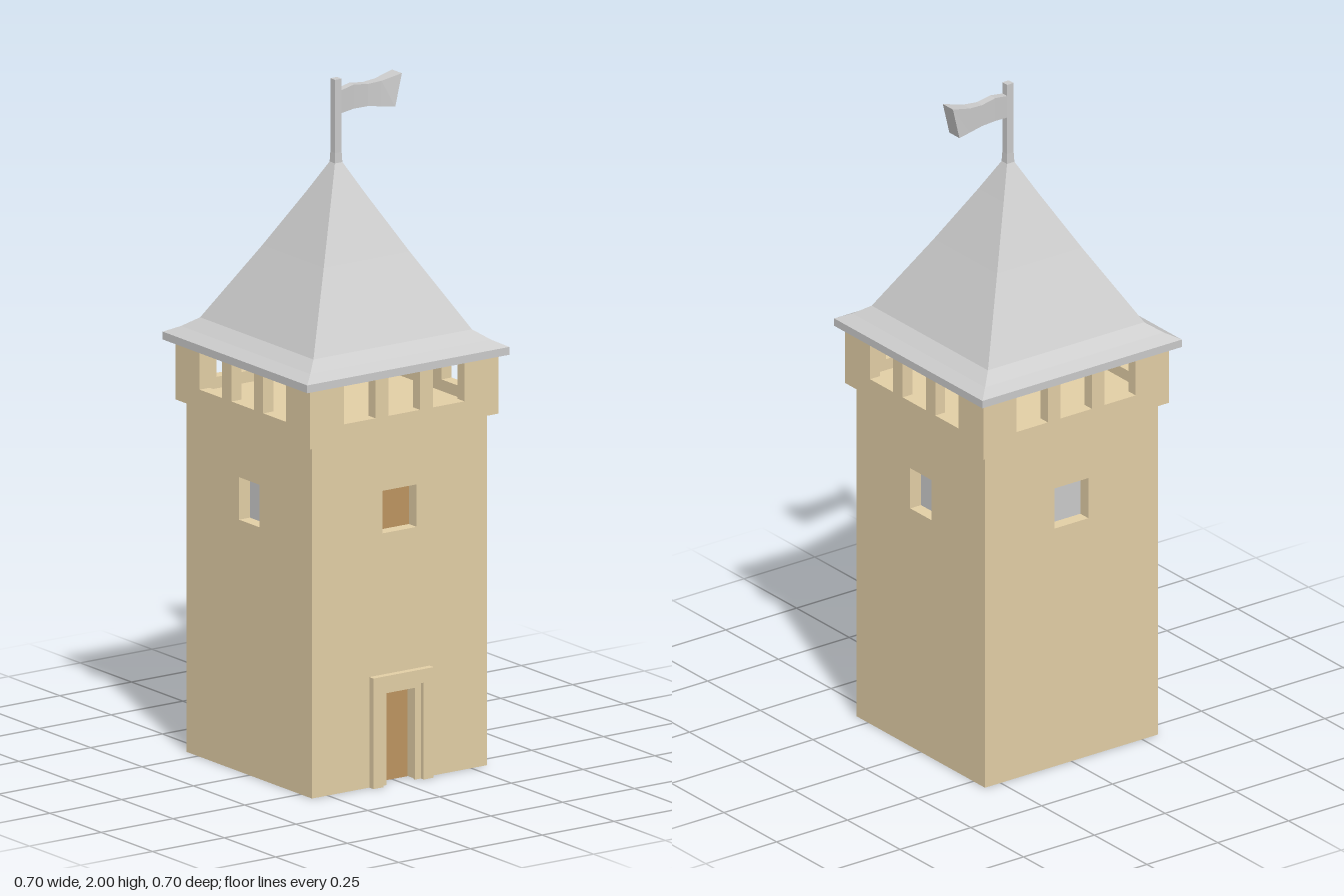
import * as THREE from 'three';

const stone = new THREE.MeshStandardMaterial({ color: 0xe3cfa6, flatShading: true });
const wood = new THREE.MeshStandardMaterial({ color: 0xbd9561, flatShading: true });
const grey = new THREE.MeshStandardMaterial({ color: 0xcccccc, flatShading: true });

function add(parent, name, geometry, material, x = 0, y = 0, z = 0) {
  const mesh = new THREE.Mesh(geometry, material);
  mesh.name = name;
  mesh.position.set(x, y, z);
  parent.add(mesh);
  return mesh;
}

// Upright slab from y0 to y1 with rectangular holes [x0, x1, y0, y1]
function slab(halfWidth, y0, y1, depth, holes, notch) {
  const s = new THREE.Shape();
  s.moveTo(-halfWidth, y0);
  if (notch) { // doorway open at the ground
    const [w, h] = notch;
    s.lineTo(-w, y0).lineTo(-w, h).lineTo(w, h).lineTo(w, y0);
  }
  s.lineTo(halfWidth, y0).lineTo(halfWidth, y1).lineTo(-halfWidth, y1).closePath();
  for (const [a, b, c, d] of holes) {
    const p = new THREE.Path();
    p.moveTo(a, c).lineTo(a, d).lineTo(b, d).lineTo(b, c).closePath();
    s.holes.push(p);
  }
  return new THREE.ExtrudeGeometry(s, { depth, bevelEnabled: false });
}

// Closed loft through rectangular sections { x, z0, z1, y0, y1 }
function loftX(sections) {
  const pos = [], idx = [];
  for (const { x, z0, z1, y0, y1 } of sections)
    pos.push(x, y0, z1, x, y1, z1, x, y1, z0, x, y0, z0);
  const last = (sections.length - 1) * 4;
  for (let i = 0; i < last; i += 4)
    for (let k = 0; k < 4; k++) {
      const a = i + k, b = i + (k + 1) % 4;
      idx.push(a, a + 4, b, b, a + 4, b + 4);
    }
  idx.push(0, 1, 2, 0, 2, 3, last, last + 2, last + 1, last, last + 3, last + 2);
  const g = new THREE.BufferGeometry();
  g.setAttribute('position', new THREE.Float32BufferAttribute(pos, 3));
  g.setIndex(idx);
  g.computeVertexNormals();
  return g;
}

export function createModel() {
  const model = new THREE.Group();
  model.name = 'watchtower';
  const R = 0.305, T = 0.04;   // shaft half width, wall thickness
  const G = 0.328, GT = 0.035; // gallery half width, wall thickness
  const bays = [-0.155, 0, 0.155];

  // Four sides: shaft wall with a window, gallery wall with three openings
  ['front', 'left', 'back', 'right'].forEach((name, i) => {
    const side = new THREE.Group();
    side.name = name + 'Side';
    side.rotation.y = i * Math.PI / 2;
    model.add(side);
    const across = i % 2 === 1, w = across ? 0.05 : 0.06;
    add(side, 'shaftWall', slab(across ? R - T : R, 0, 1.035, T,
      [[-w, w, 0.74, 0.865]], i === 0 ? [0.055, 0.275] : null), stone, 0, 0, R - T);
    add(side, 'windowPane', new THREE.BoxGeometry(0.14, 0.14, 0.006),
      i === 0 ? wood : grey, 0, 0.8, R - T - 0.001);
    add(side, 'galleryWall', slab(across ? G - GT : G, 1.035, 1.215, GT,
      bays.map(x => [x - 0.055, x + 0.055, 1.09, 1.21])), stone, 0, 0, G - GT);
  });

  // Inner core closes the shaft, the gallery deck closes the top
  const c = 2 * (R - T);
  add(model, 'shaftCore', new THREE.BoxGeometry(c, 1.02, c), stone, 0, 0.52, 0);
  add(model, 'galleryDeck', new THREE.BoxGeometry(2 * G - 0.01, 0.02, 2 * G - 0.01), stone, 0, 1.046, 0);

  // Stepped door surround and door leaf
  add(model, 'doorFrame', slab(0.105, 0, 0.325, 0.02, [], [0.07, 0.285]), stone, 0, 0, R);
  add(model, 'doorInnerFrame', slab(0.075, 0, 0.29, 0.008, [], [0.05, 0.27]), stone, 0, 0, R - 0.002);
  add(model, 'door', new THREE.BoxGeometry(0.108, 0.275, 0.008), wood, 0, 0.1375, R - T);

  // Square flared roof running up into the flagpole
  const profile = [[0, 1.21], [0.352, 1.21], [0.352, 1.233], [0.315, 1.252], [0.276, 1.28],
    [0.15, 1.5], [0.06, 1.665], [0.013, 1.755], [0.0115, 1.785], [0.0115, 2], [0, 2]];
  add(model, 'roofAndPole', new THREE.LatheGeometry(
    profile.map(([r, y]) => new THREE.Vector2(r * Math.SQRT2, y)), 4, Math.PI / 4), grey, -0.003);

  // Waving flag, widening toward its slanted end
  add(model, 'flag', loftX([
    { x: 0.005, z0: -0.011, z1: 0.011, y0: 1.898, y1: 1.965 },
    { x: 0.055, z0: -0.018, z1: 0.006, y0: 1.903, y1: 1.974 },
    { x: 0.105, z0: -0.022, z1: 0.004, y0: 1.902, y1: 1.967 },
    { x: 0.15, z0: -0.025, z1: 0.008, y0: 1.895, y1: 1.97 },
    { x: 0.2, z0: -0.029, z1: 0.019, y0: 1.89, y1: 1.985 },
  ]), grey);
  // Slant the free end so its upper corner leads
  const p = model.getObjectByName('flag').geometry.attributes.position;
  for (let i = p.count - 4; i < p.count; i++) p.setX(i, p.getY(i) > 1.93 ? 0.213 : 0.19);

  return model;
}
